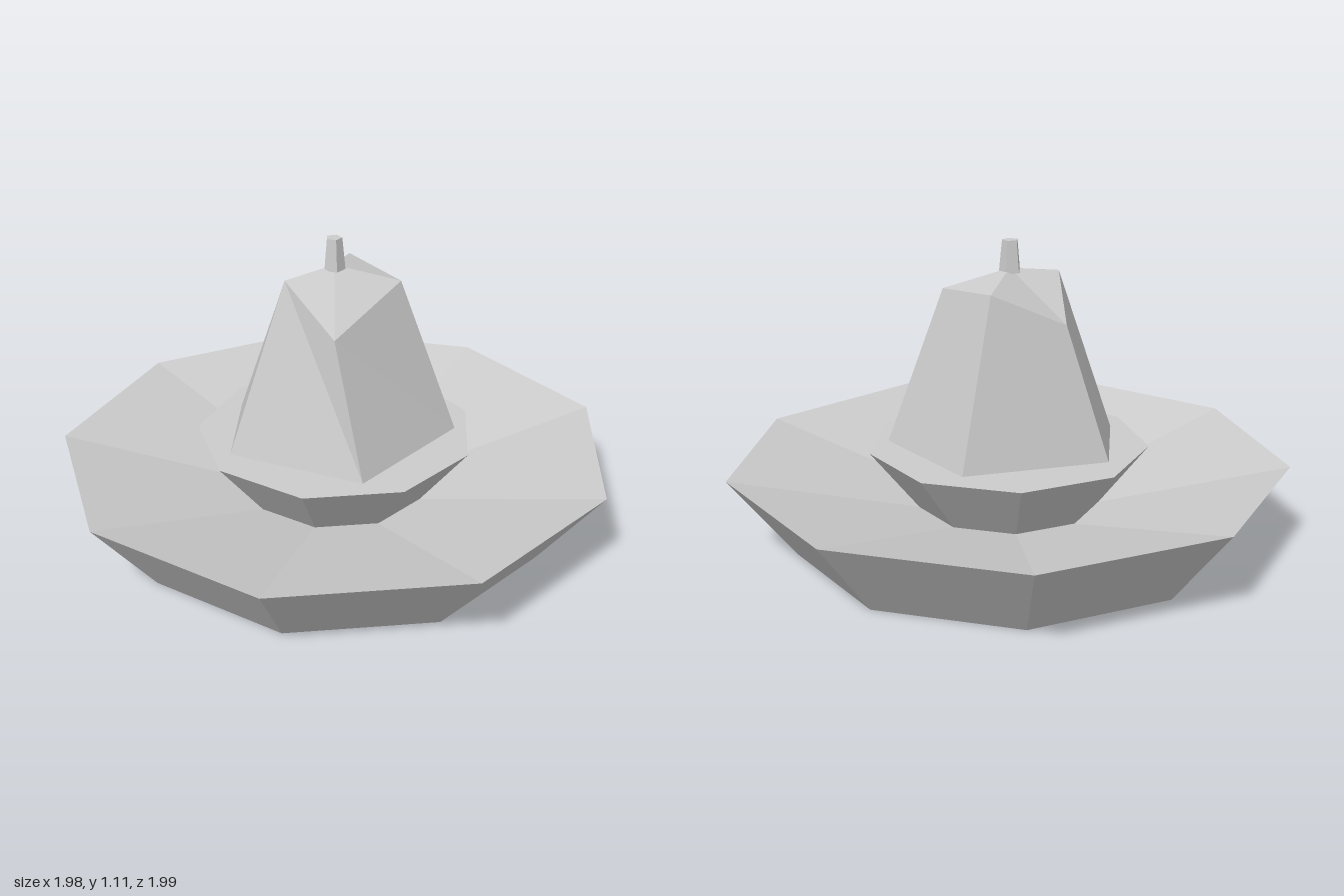
import * as THREE from 'three';

const material = new THREE.MeshStandardMaterial({ color: 0xcccccc, flatShading: true });

// Faceted turned solid: profile runs from the bottom centre, outwards, to the top centre
function turned(name, profile, sides, startDegrees) {
  const points = profile.map(([r, y]) => new THREE.Vector2(r, y));
  const start = THREE.MathUtils.degToRad(startDegrees);
  const mesh = new THREE.Mesh(new THREE.LatheGeometry(points, sides, start), material);
  mesh.name = name;
  return mesh;
}

// Irregular five-sided rock: foot ring, shoulder ring and a peak
function rockGeometry() {
  const foot = [[0.38, -0.17], [0.2, 0.33], [-0.31, 0.3], [-0.43, -0.07], [-0.02, -0.4]]
    .map(([x, z]) => [x, 0.36, z]);
  const shoulder = [[0.18, 0.935, -0.115], [0.06, 0.83, 0.23], [-0.16, 0.98, 0.13],
    [-0.26, 0.83, -0.05], [-0.06, 0.96, -0.245]];
  const peak = [-0.03, 1.005, -0.01];
  const base = [-0.03, 0.36, -0.01];
  const positions = [];
  const triangle = (a, b, c) => positions.push(...a, ...b, ...c);
  for (let i = 0; i < 5; i++) {
    const j = (i + 1) % 5;
    triangle(foot[i], shoulder[i], shoulder[j]);
    triangle(foot[i], shoulder[j], foot[j]);
    triangle(shoulder[i], peak, shoulder[j]);
    triangle(foot[i], foot[j], base);
  }
  const geometry = new THREE.BufferGeometry();
  geometry.setAttribute('position', new THREE.Float32BufferAttribute(positions, 3));
  geometry.computeVertexNormals();
  return geometry;
}

export function createModel() {
  const model = new THREE.Group();
  model.name = 'fountain';

  // Wide nine-sided basin with a shallow dished floor
  const basin = turned('basin', [[0, 0], [0.776, 0], [1.013, 0.3], [0, 0.06]], 9, 87.2);

  // Flared pedestal rising from the dish
  const pedestal = turned('pedestal', [[0, 0.1], [0.301, 0.1], [0.508, 0.36], [0, 0.36]], 9, 87.6);

  // Small spout on the peak
  const spout = turned('spout', [[0, 0.99], [0.04, 0.99], [0.029, 1.105], [0, 1.105]], 5, 180);

  for (const part of [basin, pedestal, spout]) {
    part.position.set(-0.025, 0, -0.01);
    model.add(part);
  }
  spout.position.x = -0.032;

  const rock = new THREE.Mesh(rockGeometry(), material);
  rock.name = 'rock';
  model.add(rock);

  return model;
}
